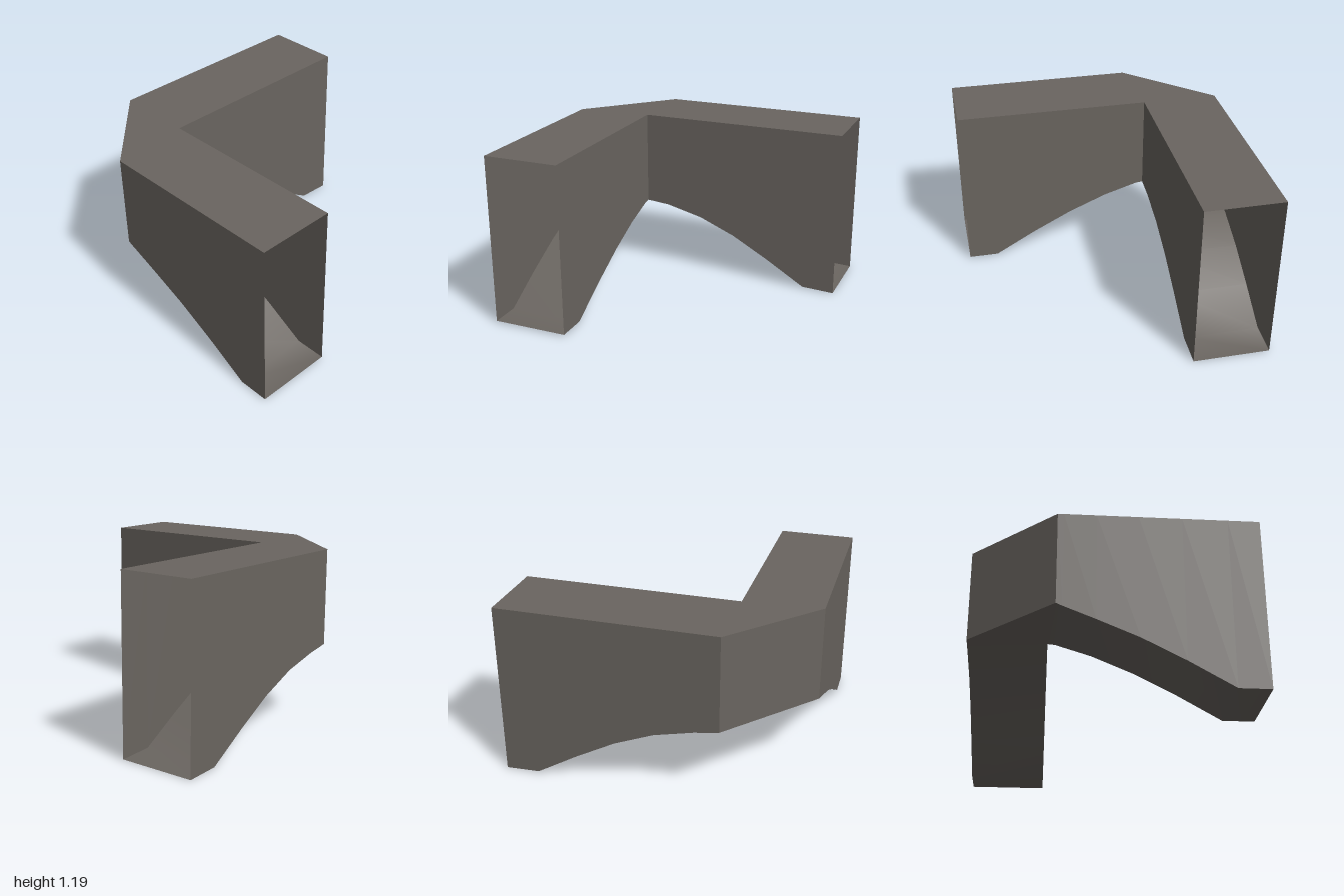
import * as THREE from 'three';

const TOP = 1.19;
const INNER_X = -0.475, OUTER_X = -1, INNER_Z = -0.41, OUTER_Z = -0.94;

// Underside profiles of the two arms: [distance along arm, height]
const frontArm = [[0.935, 0.01], [0.725, 0.01], [0.43, 0.18], [0.15, 0.325], [-0.12, 0.44]];
const sideArm = [[-0.045, 0.44], [0.22, 0.33], [0.49, 0.18], [0.77, 0.01], [1, 0]];

// Smooth double-sided surface between two polylines of equal length
function strip(name, a, b, material) {
  const points = [...a, ...b], n = a.length, index = [];
  for (let i = 0; i < n - 1; i++) {
    index.push(i, n + i, n + i + 1, i, n + i + 1, i + 1);
  }
  const geometry = new THREE.BufferGeometry().setFromPoints(points);
  geometry.setIndex(index);
  geometry.computeVertexNormals();
  const mesh = new THREE.Mesh(geometry, material);
  mesh.name = name;
  return mesh;
}

const v = (x, y, z) => new THREE.Vector3(x, y, z);
const raise = (line) => line.map((p) => v(p.x, TOP, p.z));

export function createModel() {
  const group = new THREE.Group();
  group.name = 'cornerBracket';
  const stone = new THREE.MeshStandardMaterial({ color: 0x6a6560, side: THREE.DoubleSide });
  stone.name = 'warm grey';

  // Lower edges of the inner and outer walls of each arm
  const innerFront = [...frontArm.map(([z, y]) => v(INNER_X, y, z)), v(INNER_X, 0.515, -0.36), v(INNER_X, 0.52, INNER_Z)];
  const outerFront = [...frontArm.map(([z, y]) => v(OUTER_X, y, z)), v(OUTER_X, 0.525, -0.33), v(OUTER_X, 0.543, -0.37)];
  const innerSide = [v(INNER_X, 0.52, INNER_Z), v(-0.31, 0.505, INNER_Z), ...sideArm.map(([x, y]) => v(x, y, INNER_Z))];
  const outerSide = [v(INNER_X, 0.533, OUTER_Z), v(-0.31, 0.505, OUTER_Z), ...sideArm.map(([x, y]) => v(x, y, OUTER_Z))];
  const chamfer = [outerFront.at(-1), outerSide[0]];

  // Vertical walls; both arm ends stay open
  group.add(
    strip('frontArmInnerWall', raise(innerFront), innerFront, stone),
    strip('sideArmInnerWall', raise(innerSide), innerSide, stone),
    strip('frontArmOuterWall', outerFront, raise(outerFront), stone),
    strip('sideArmOuterWall', outerSide, raise(outerSide), stone),
    strip('chamferWall', chamfer, raise(chamfer), stone),
  );

  // Arched underside and flat top run around the corner
  const inner = [...innerFront, ...innerSide], outer = [...outerFront, ...outerSide];
  group.add(
    strip('archedUnderside', inner, outer, stone),
    strip('topPlate', raise(outer), raise(inner), stone),
  );
  return group;
}
